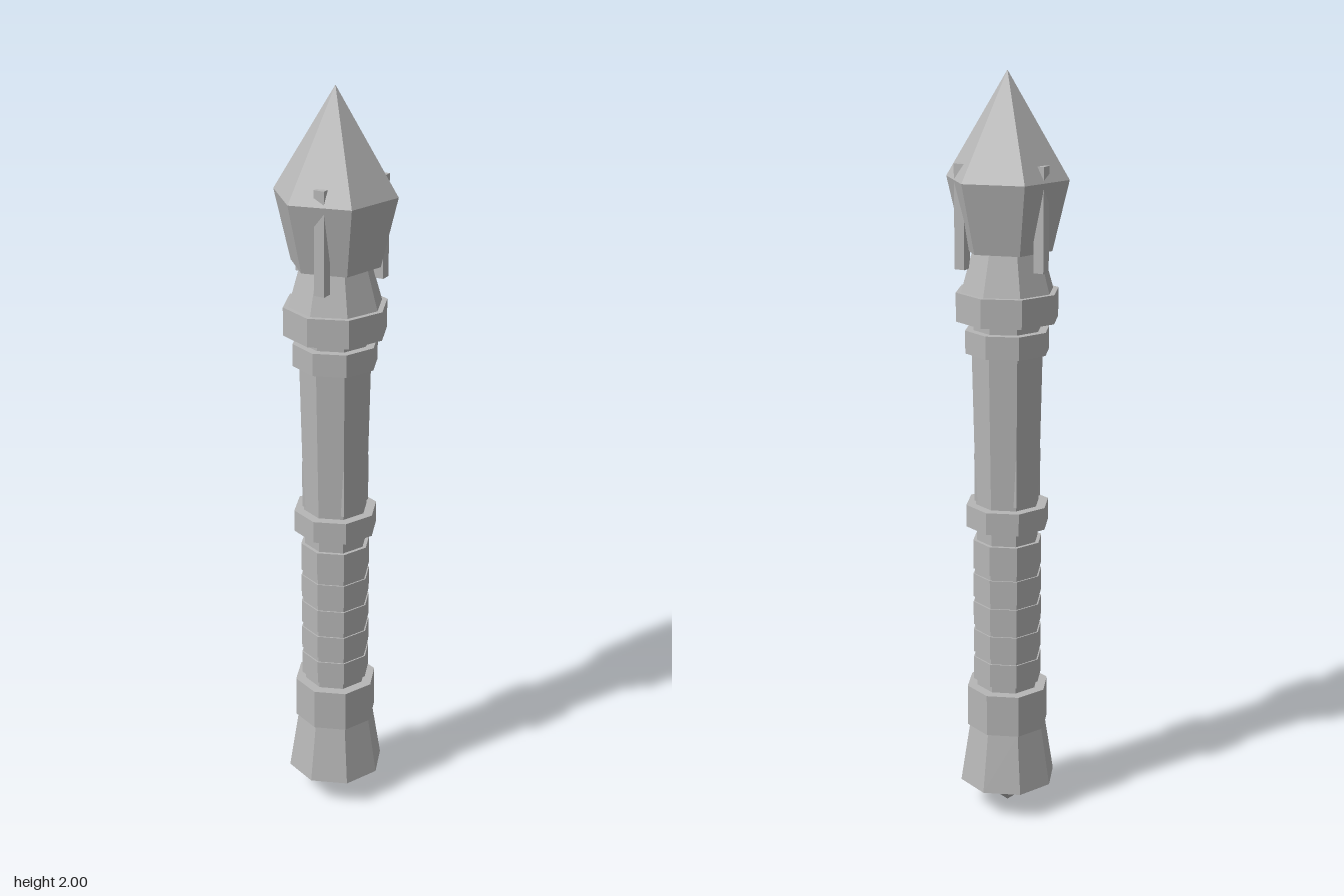
import * as THREE from 'three';

export function createModel() {
  const model = new THREE.Group();
  model.name = 'sceptre';
  const stone = new THREE.MeshStandardMaterial({ color: 0xb6b6b6, flatShading: true });
  stone.name = 'grey stone';

  // Closed faceted section between two heights; a corner always points to +z.
  function section(name, y0, y1, r0, r1, sides = 8, x = 0, z = 0) {
    const mesh = new THREE.Mesh(new THREE.CylinderGeometry(r1, r0, y1 - y0, sides), stone);
    mesh.name = name;
    mesh.position.set(x, (y0 + y1) / 2, z);
    model.add(mesh);
    return mesh;
  }

  // Pommel
  section('pommelTip', 0, 0.08, 0, 0.097);
  section('pommel', 0.08, 0.245, 0.132, 0.106);
  section('pommelRing', 0.245, 0.36, 0.112, 0.112);

  // Grip: a core wrapped by five bands
  section('gripCore', 0.36, 0.82, 0.084, 0.084);
  const bands = 5, pitch = 0.4 / bands;
  for (let i = 0; i < bands; i++) {
    const y = 0.38 + i * pitch;
    section('gripBand', y, y + pitch - 0.015, 0.094, 0.094);
    if (i < bands - 1) section('gripGroove', y + pitch - 0.015, y + pitch, 0.09, 0.09);
  }
  section('gripBandTop', 0.765, 0.78, 0.094, 0.094);
  section('middleCollar', 0.82, 0.88, 0.112, 0.112);

  // Shaft, with a slim ridge low on each of four corners
  section('shaft', 0.88, 1.29, 0.086, 0.095);
  for (let i = 0; i < 4; i++) {
    const a = (i * Math.PI) / 2;
    section('shaftRidge', 0.89, 1.02, 0.007, 0.007, 4, Math.sin(a) * 0.083, Math.cos(a) * 0.083);
  }
  section('upperRing', 1.29, 1.35, 0.112, 0.112);
  section('neck', 1.35, 1.375, 0.09, 0.09);

  // Head mount
  section('headCollar', 1.375, 1.45, 0.136, 0.136);
  section('headCup', 1.45, 1.555, 0.122, 0.092);

  // Six-sided crystal
  section('crystalBase', 1.555, 1.735, 0.117, 0.16, 6);
  section('crystalPoint', 1.735, 2, 0.16, 0, 6);

  // Three square prongs gripping the crystal
  for (let i = 0; i < 3; i++) {
    const a = (i * Math.PI * 2) / 3;
    section('prong', 1.51, 1.775, 0.02, 0.02, 4, Math.cos(a) * 0.118, Math.sin(a) * 0.118);
  }
  return model;
}
